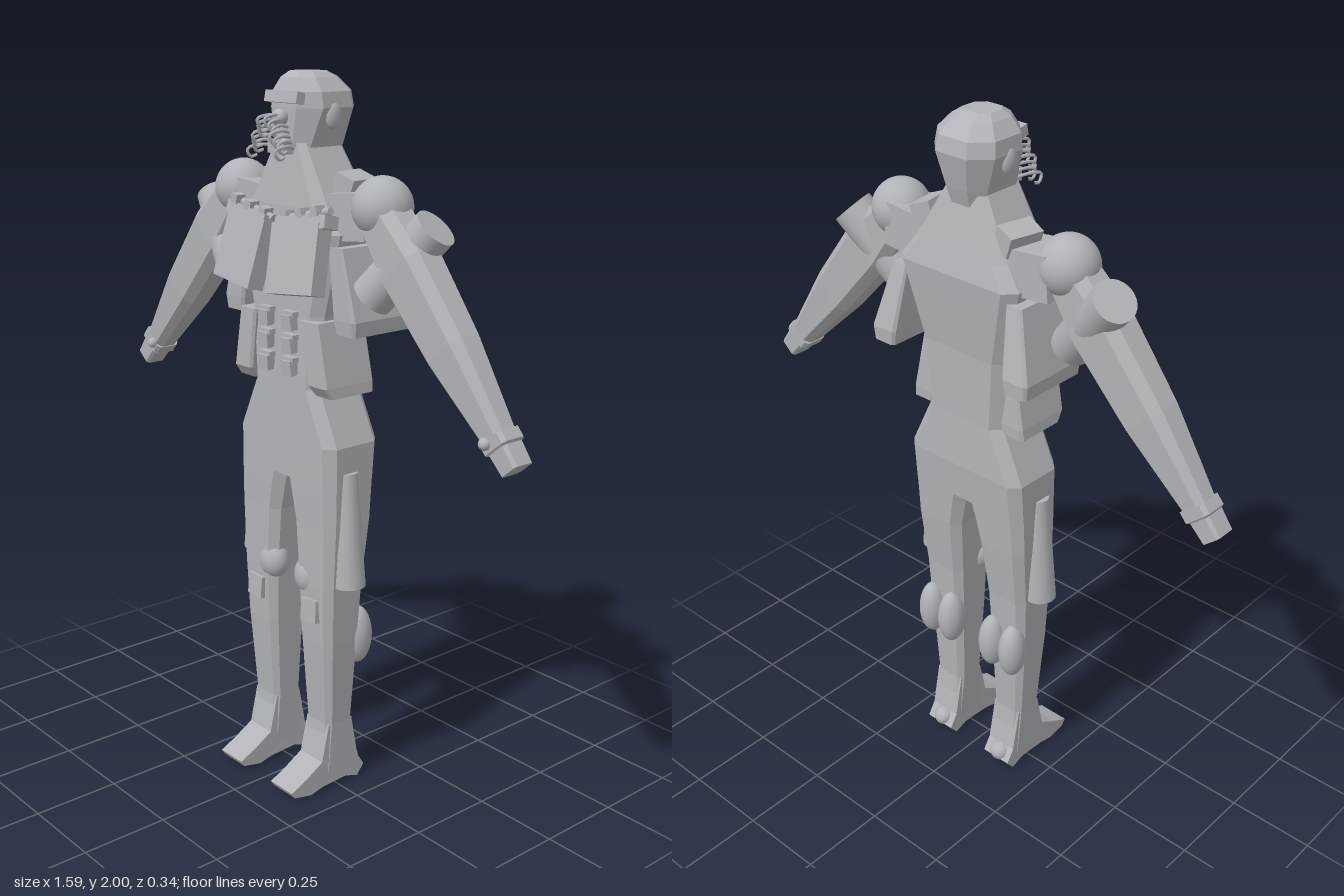
import * as THREE from 'three';
import { mergeGeometries } from 'three/addons/utils/BufferGeometryUtils.js';

const grey = new THREE.MeshStandardMaterial({ color: 0xb2b3b8 });
grey.name = 'plain grey';

// Faceted body from rings [y, x0, x1, z0, z1], listed bottom to top, with chamfered corners
function loft(rings, chamfer = 0.22) {
  const loops = rings.map(([y, x0, x1, z0, z1]) => {
    const c = chamfer * Math.min(x1 - x0, z1 - z0);
    return [[x0 + c, z1], [x1 - c, z1], [x1, z1 - c], [x1, z0 + c],
      [x1 - c, z0], [x0 + c, z0], [x0, z0 + c], [x0, z1 - c]].map(([x, z]) => new THREE.Vector3(x, y, z));
  });
  const pts = [];
  const mid = (loop) => loop.reduce((s, p) => s.add(p), new THREE.Vector3()).divideScalar(8);
  const bottom = loops[0], top = loops[loops.length - 1];
  for (let i = 0; i < 8; i++) {
    const j = (i + 1) % 8;
    for (let k = 0; k < loops.length - 1; k++) {
      const a = loops[k], b = loops[k + 1];
      pts.push(a[i], a[j], b[j], a[i], b[j], b[i]);
    }
    pts.push(mid(top), top[i], top[j], mid(bottom), bottom[j], bottom[i]);
  }
  const g = new THREE.BufferGeometry().setFromPoints(pts);
  g.computeVertexNormals();
  return g;
}

// Geometry moved into place
function place(geo, pos = [0, 0, 0], rot = [0, 0, 0], scale = [1, 1, 1]) {
  const g = geo.index ? geo.toNonIndexed() : geo;
  g.deleteAttribute('uv');
  const q = new THREE.Quaternion().setFromEuler(new THREE.Euler(...rot));
  return g.applyMatrix4(new THREE.Matrix4().compose(new THREE.Vector3(...pos), q, new THREE.Vector3(...scale)));
}

// Mirror image across x = 0, with the corner order reversed
function mirrored(geo) {
  const g = geo.clone();
  for (const attr of [g.attributes.position, g.attributes.normal]) {
    const a = attr.array;
    for (let i = 0; i < a.length; i += 3) a[i] *= -1;
    for (let i = 0; i < a.length; i += 9) {
      for (let k = 3; k < 6; k++) [a[i + k], a[i + k + 3]] = [a[i + k + 3], a[i + k]];
    }
  }
  return g;
}

const box = (w, h, d) => new THREE.BoxGeometry(w, h, d);
const ball = (r) => new THREE.SphereGeometry(r, 28, 18);

// Cylinder between two points
function rod(a, b, ra, rb = ra, sides = 28) {
  const A = new THREE.Vector3(...a), B = new THREE.Vector3(...b), d = B.clone().sub(A);
  const g = place(new THREE.CylinderGeometry(rb, ra, d.length(), sides));
  g.applyQuaternion(new THREE.Quaternion().setFromUnitVectors(new THREE.Vector3(0, 1, 0), d.normalize()));
  const m = A.add(B).multiplyScalar(0.5);
  return g.translate(m.x, m.y, m.z);
}

export function createModel() {
  const model = new THREE.Group();
  model.name = 'armouredFigure';
  const add = (name, geo) => {
    const mesh = new THREE.Mesh(geo, grey);
    mesh.name = name;
    model.add(mesh);
  };
  const pair = (name, geo) => {
    add(name + 'Left', geo);
    add(name + 'Right', mirrored(geo));
  };

  // Body
  add('torso', loft([
    [0.92, -0.2, 0.2, -0.11, 0.07], [1.03, -0.2, 0.2, -0.12, 0.072],
    [1.18, -0.13, 0.13, -0.115, 0.072], [1.38, -0.145, 0.145, -0.12, 0.07],
    [1.6, -0.2, 0.2, -0.145, 0.07], [1.66, -0.155, 0.155, -0.132, 0.068],
    [1.84, -0.05, 0.05, -0.09, 0.05]], 0.15));
  pair('leg', loft([
    [0.05, 0.07, 0.166, -0.07, 0.05], [0.2, 0.066, 0.168, -0.056, 0.04],
    [0.45, 0.056, 0.184, -0.068, 0.058], [0.62, 0.05, 0.191, -0.078, 0.065],
    [0.8, 0.036, 0.199, -0.1, 0.068], [0.88, 0.018, 0.2, -0.106, 0.07],
    [0.95, 0.0, 0.2, -0.112, 0.07]], 0.15));

  // Feet: side profile pulled across the width
  const foot = new THREE.Shape([[-0.1, 0.03], [-0.075, 0.0], [-0.03, 0.015], [0.06, 0.01], [0.1, 0.0],
    [0.16, 0.012], [0.172, 0.03], [0.12, 0.055], [0.06, 0.09], [0.035, 0.2], [-0.05, 0.2], [-0.075, 0.07]]
    .map(([z, y]) => new THREE.Vector2(-z, y)));
  const footGeo = new THREE.ExtrudeGeometry(foot, { depth: 0.095, bevelEnabled: false });
  pair('foot', place(footGeo, [0.07, 0, 0], [0, Math.PI / 2, 0]));
  pair('heel', place(ball(0.03), [0.118, 0.045, -0.08]));

  // Leg gear
  pair('kneePad', place(ball(0.05), [0.078, 0.635, 0.035], [0, 0, 0], [0.95, 1.1, 0.8]));
  pair('kneePlate', place(box(0.06, 0.065, 0.03), [0.12, 0.55, 0.06], [-0.05, 0, 0.05]));
  for (const [name, x] of [['innerCalf', 0.082], ['outerCalf', 0.158]]) {
    pair(name, place(ball(0.044), [x, 0.45, -0.075], [0, 0, 0], [0.9, 1.95, 1]));
  }
  pair('thighCase', rod([0.2, 0.63, -0.006], [0.185, 0.955, -0.006], 0.045, 0.03, 16));

  // Head
  add('head', loft([
    [1.76, -0.055, 0.055, -0.1, 0.05], [1.82, -0.07, 0.07, -0.118, 0.06],
    [1.91, -0.1, 0.1, -0.138, 0.06], [1.95, -0.095, 0.095, -0.13, 0.058],
    [1.985, -0.066, 0.066, -0.095, 0.042], [2.0, -0.045, 0.045, -0.065, 0.02]], 0.25));
  pair('ear', place(ball(0.03), [0.092, 1.89, -0.03], [0, 0, 0], [0.5, 1.2, 0.8]));
  add('brow', place(box(0.13, 0.03, 0.03), [0, 1.935, 0.055], [-0.2, 0, 0]));
  add('nose', place(ball(0.022), [0, 1.885, 0.072]));
  add('chinPiece', place(box(0.065, 0.035, 0.05), [0, 1.812, 0.062]));

  // Curled whiskers in front of the mouth
  const whiskers = [];
  for (let i = 0; i < 7; i++) {
    const x = 0.008 + 0.007 * i, y = 1.885 - 0.013 * i, out = 0.135 - 0.004 * (i % 3) * 2;
    const path = new THREE.CatmullRomCurve3([[x * 0.6, y, 0.05], [x, y + 0.008, 0.09],
      [x + 0.006, y - 0.002, out], [x + 0.008, y - 0.022, out - 0.012], [x + 0.006, y - 0.018, out - 0.03]]
      .map((p) => new THREE.Vector3(...p)));
    whiskers.push(place(new THREE.TubeGeometry(path, 16, 0.0045, 6)));
  }
  pair('whiskers', mergeGeometries(whiskers));

  // Shoulders and arms
  pair('shoulderLink', place(box(0.17, 0.12, 0.13), [0.19, 1.645, -0.035], [0, 0, 0.1]));
  pair('shoulderStrap', place(box(0.06, 0.06, 0.1), [0.145, 1.715, -0.055], [0, 0.2, -0.35]));
  pair('shoulderBall', place(ball(0.08), [0.285, 1.675, -0.028]));
  pair('shoulderCylinder', rod([0.282, 1.45, 0.0], [0.448, 1.64, -0.055], 0.058));
  const armBend = -2.43;
  pair('arm', place(loft([
    [0, -0.06, 0.06, -0.055, 0.055], [0.16, -0.08, 0.08, -0.06, 0.06],
    [0.4, -0.068, 0.07, -0.054, 0.054], [0.655, -0.036, 0.04, -0.038, 0.036]]),
    [0.29, 1.66, -0.024], [0, 0, armBend]));
  pair('hand', place(loft([
    [0.64, -0.042, 0.044, -0.04, 0.038], [0.67, -0.042, 0.044, -0.04, 0.038],
    [0.675, -0.034, 0.034, -0.036, 0.034], [0.735, -0.03, 0.03, -0.034, 0.032]], 0.12),
    [0.29, 1.66, -0.024], [0, 0, armBend]));
  pair('thumb', place(ball(0.016), [0.7, 1.16, 0.016]));

  // Chest pouches with flaps and a rail
  pair('chestPouch', place(box(0.172, 0.185, 0.05), [0.11, 1.535, 0.103], [-0.24, 0.06, 0.11]));
  pair('chestFlap', place(box(0.182, 0.035, 0.05), [0.112, 1.625, 0.078], [-0.24, 0.06, 0.15]));
  pair('chestRail', rod([0.01, 1.625, 0.085], [0.2, 1.665, 0.07], 0.011, 0.011, 8));
  for (let i = 0; i < 3; i++) {
    pair('chestClip' + (i + 1), place(box(0.025, 0.025, 0.03), [0.045 + 0.06 * i, 1.64 + 0.012 * i, 0.085], [0, 0, 0.2]));
  }

  // Side and waist pouches
  pair('sidePouch', loft([
    [1.345, 0.195, 0.268, -0.165, 0.05], [1.385, 0.188, 0.272, -0.168, 0.055],
    [1.57, 0.17, 0.222, -0.13, 0.055]], 0.1));
  pair('waistPouch', loft([
    [1.17, 0.125, 0.198, -0.09, 0.06], [1.2, 0.12, 0.195, -0.092, 0.082],
    [1.37, 0.095, 0.162, -0.085, 0.085]], 0.1));

  // Belly clips in two columns
  for (let i = 0; i < 3; i++) {
    const y = 1.235 + 0.062 * i;
    pair('bellyPouch' + (i + 1), mergeGeometries([
      place(box(0.04, 0.042, 0.035), [0.049, y, 0.078], [0.1, 0, 0.04]),
      place(box(0.048, 0.014, 0.03), [0.049, y + 0.022, 0.076])]));
  }
  return model;
}
